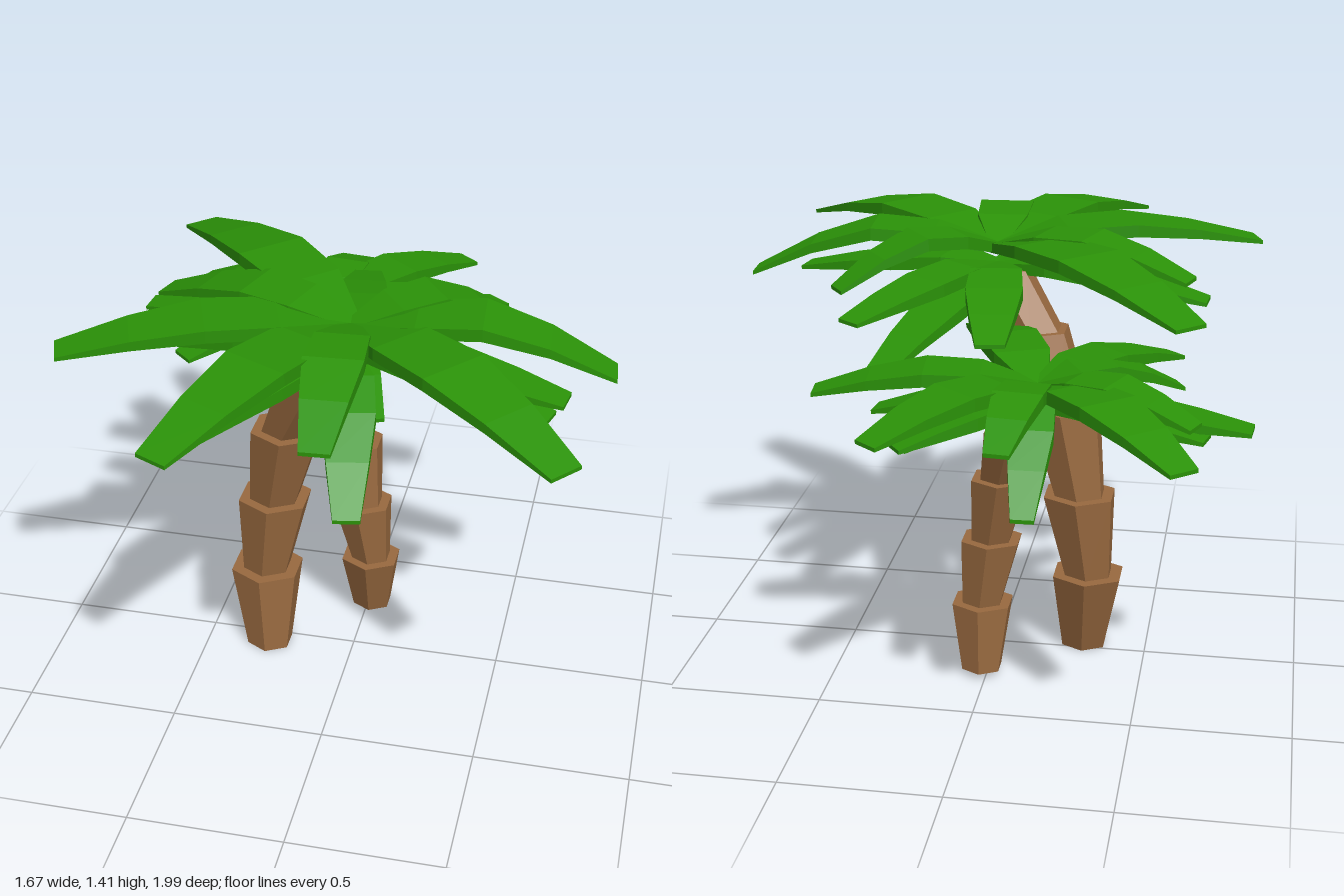
import * as THREE from 'three';

const bark = new THREE.MeshStandardMaterial({ color: 0x98693f, flatShading: true });
const green = new THREE.MeshStandardMaterial({ color: 0x2b9208, flatShading: true });

// Samples a list of evenly spaced values at t in 0..1
function sample(list, t) {
  const f = t * (list.length - 1);
  const i = Math.min(Math.floor(f), list.length - 2);
  return THREE.MathUtils.lerp(list[i], list[i + 1], f - i);
}

// Six-sided trunk piece flaring upwards, sheared so its rings stay level
function trunkSegment([x0, y0, z0, , r0], [x1, y1, z1, r1]) {
  const geo = new THREE.CylinderGeometry(r1, r0, 1, 6);
  const p = geo.attributes.position;
  for (let i = 0; i < p.count; i++) {
    const t = p.getY(i) + 0.5;
    p.setXYZ(i,
      p.getX(i) + THREE.MathUtils.lerp(x0, x1, t),
      THREE.MathUtils.lerp(y0, y1, t),
      p.getZ(i) * 0.93 + THREE.MathUtils.lerp(z0, z1, t));
  }
  geo.computeVertexNormals();
  const mesh = new THREE.Mesh(geo, bark);
  mesh.name = 'trunkSegment';
  return mesh;
}

// Arching blade: a box widened, thinned and bent along its length
function frond(root, tip, { rootY, apexY, sag }) {
  const dx = tip[0] - root[0], dz = tip[2] - root[1];
  const length = Math.hypot(dx, dz);
  const width = 0.075 + 0.16 * length;
  const heights = sag.map((s) => THREE.MathUtils.lerp(apexY, tip[1], s));
  heights[0] = rootY;
  const geo = new THREE.BoxGeometry(1, 1, 1, 1, 1, 4);
  const p = geo.attributes.position;
  for (let i = 0; i < p.count; i++) {
    const t = p.getZ(i) + 0.5;
    const thick = sample([0.03, 0.04, 0.04, 0.03, 0.012], t);
    p.setXYZ(i,
      p.getX(i) * width * sample([0.32, 0.92, 1, 0.78, 0.5], t),
      sample(heights, t) + (p.getY(i) - 0.5) * thick,
      t * length);
  }
  geo.rotateY(Math.atan2(dx, dz));
  geo.translate(root[0], 0, root[1]);
  geo.computeVertexNormals();
  const mesh = new THREE.Mesh(geo, green);
  mesh.name = 'frond';
  return mesh;
}

// rings: [x, y, z, top radius of the piece below, bottom radius of the piece above]
// tiers: frond layers from top to bottom, chosen by the height of the tip
function palm(name, { rings, center, tiers, tips }) {
  const group = new THREE.Group();
  group.name = name;
  const trunk = new THREE.Group();
  trunk.name = 'trunk';
  for (let i = 0; i < rings.length - 1; i++) trunk.add(trunkSegment(rings[i], rings[i + 1]));
  const crown = new THREE.Group();
  crown.name = 'crown';
  for (const tip of tips) crown.add(frond(center, tip, tiers.find((tier) => tip[1] >= tier.minTip)));
  group.add(trunk, crown);
  return group;
}

// How far each station along a frond has dropped from its apex to its tip
const flatSag = [0, 0.08, 0, 0.38, 1];
const droopSag = [0, 0, 0.2, 0.55, 1];

export function createModel() {
  const model = new THREE.Group();
  model.name = 'palmTrees';

  model.add(palm('tallPalm', {
    rings: [
      [-0.29, 0, 0.045, 0, 0.08],
      [-0.305, 0.285, -0.005, 0.127, 0.084],
      [-0.272, 0.57, -0.01, 0.127, 0.088],
      [-0.215, 0.86, 0.02, 0.127, 0.09],
      [-0.105, 1.1, 0.085, 0.12, 0.095],
      [0.015, 1.28, 0.15, 0.1, 0],
    ],
    center: [0.03, 0.18],
    tiers: [
      { minTip: 1.24, rootY: 1.355, apexY: 1.415, sag: flatSag },
      { minTip: 1.1, rootY: 1.29, apexY: 1.31, sag: droopSag },
      { minTip: 0, rootY: 1.26, apexY: 1.25, sag: droopSag },
    ],
    tips: [
      [-0.64, 1.31, -0.51], [-0.05, 1.21, -0.46], [0.32, 1.07, -0.37],
      [0.41, 1.22, -0.33], [0.49, 1.27, -0.15], [0.83, 1.25, 0.12],
      [0.7, 1.23, 0.28], [0.66, 1.21, 0.36], [0.75, 1.3, 0.78],
      [0.13, 1.0, 0.7], [0.07, 1.3, 0.83], [-0.35, 1.31, 0.97],
      [-0.38, 1.18, 0.68], [-0.43, 1.15, 0.54], [-0.8, 1.33, 0.48],
      [-0.66, 1.21, 0.12], [-0.61, 1.31, -0.02],
    ],
  }));

  model.add(palm('shortPalm', {
    rings: [
      [0.018, 0.02, -0.225, 0, 0.069],
      [0.02, 0.245, -0.19, 0.106, 0.07],
      [-0.01, 0.47, -0.19, 0.105, 0.07],
      [-0.047, 0.695, -0.22, 0.103, 0.072],
      [-0.095, 0.885, -0.29, 0.098, 0.075],
      [-0.175, 1.03, -0.4, 0.085, 0],
    ],
    center: [-0.19, -0.43],
    tiers: [
      { minTip: 1.03, rootY: 1.09, apexY: 1.14, sag: flatSag },
      { minTip: 0, rootY: 1.04, apexY: 1.06, sag: droopSag },
    ],
    tips: [
      [-0.66, 1.05, -0.97], [-0.14, 1.04, -0.9], [-0.2, 0.81, -0.81],
      [0.22, 1.06, -0.93], [0.19, 0.97, -0.71], [0.19, 0.93, -0.6],
      [0.48, 1.06, -0.5], [0.32, 0.97, -0.38], [0.1, 1.06, 0.24],
      [0.02, 0.96, -0.06], [-0.83, 1.0, -0.48], [-0.67, 1.05, -0.62],
      [-0.7, 0.99, -0.55], [-0.6, 1.04, -0.22], [-0.55, 0.87, -0.08],
      [-0.57, 1.07, -0.01],
    ],
  }));

  return model;
}
